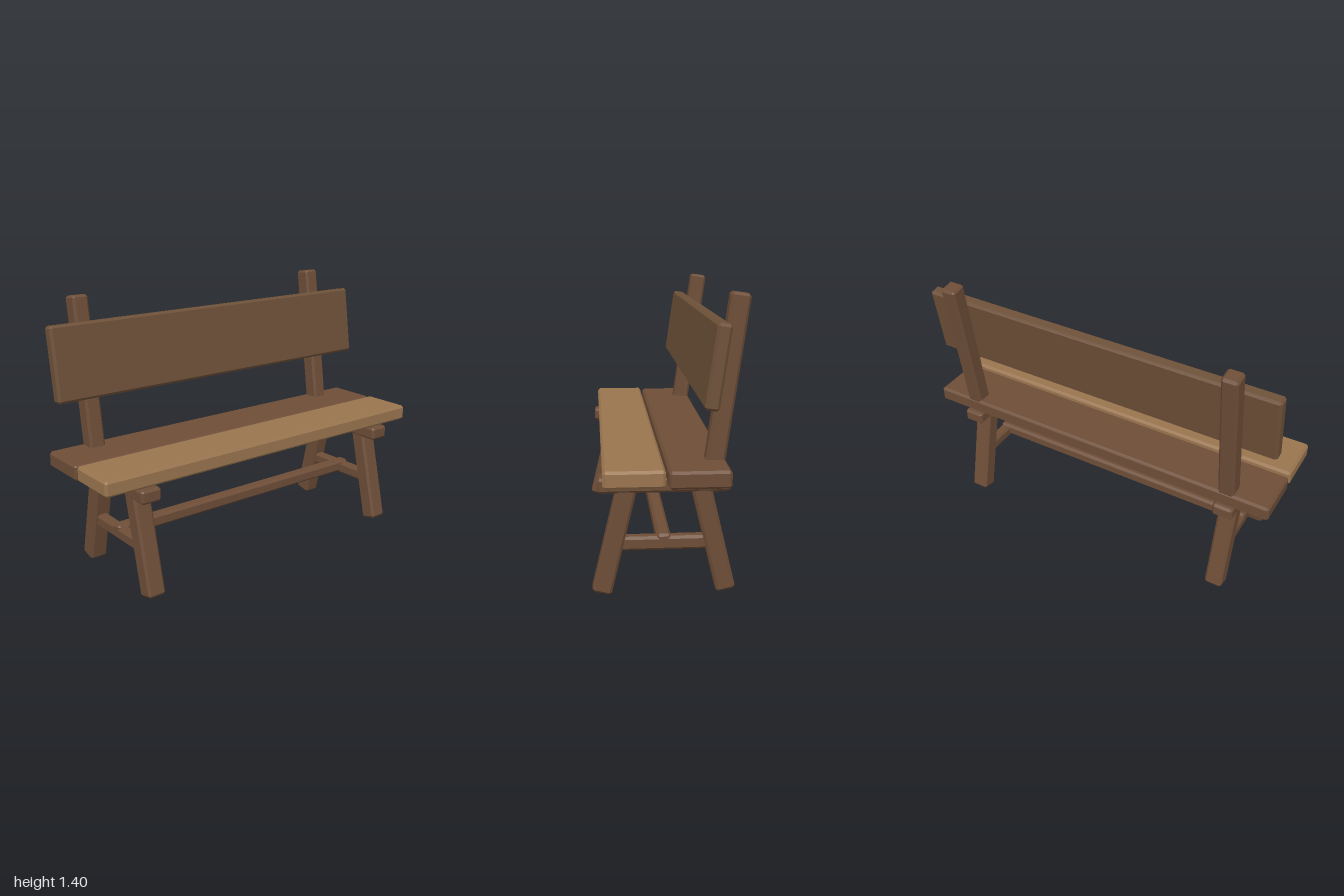
import * as THREE from 'three';
import { ConvexGeometry } from 'three/addons/geometries/ConvexGeometry.js';

const mat = (name, color) => {
  const m = new THREE.MeshStandardMaterial({ color });
  m.name = name;
  return m;
};

// Box with a single flat chamfer on every edge
function chamferBox(w, h, d, c = 0.012) {
  const pts = [];
  for (const x of [-1, 1]) for (const y of [-1, 1]) for (const z of [-1, 1]) {
    const X = w / 2, Y = h / 2, Z = d / 2;
    pts.push(
      new THREE.Vector3(x * X, y * (Y - c), z * (Z - c)),
      new THREE.Vector3(x * (X - c), y * Y, z * (Z - c)),
      new THREE.Vector3(x * (X - c), y * (Y - c), z * Z));
  }
  return new ConvexGeometry(pts);
}

export function createModel() {
  const bench = new THREE.Group();
  bench.name = 'bench';
  const dark = mat('dark wood', 0x6d4d37);
  const backWood = mat('backrest wood', 0x6d5038);
  const light = mat('light wood', 0x99744e);

  // Upright beam given by its y and z limits
  const beam = (name, material, x, w, y0, y1, z0, z1, c) => {
    const m = new THREE.Mesh(chamferBox(w, y1 - y0, z1 - z0, c), material);
    m.name = name;
    m.position.set(x, (y0 + y1) / 2, (z0 + z1) / 2);
    bench.add(m);
  };

  // Beam leaning in the yz plane, from [z, y] at the bottom to [z, y] at the top
  const leaning = (name, material, x, w, thick, [z0, y0], [z1, y1]) => {
    const m = new THREE.Mesh(chamferBox(w, Math.hypot(z1 - z0, y1 - y0), thick), material);
    m.name = name;
    m.position.set(x, (y0 + y1) / 2, (z0 + z1) / 2);
    m.rotation.x = Math.atan2(z1 - z0, y1 - y0);
    bench.add(m);
  };

  // Seat planks and backrest
  beam('frontSeatPlank', light, 0, 2, 0.575, 0.656, 0.034, 0.31);
  beam('rearSeatPlank', dark, 0, 2, 0.568, 0.65, -0.257, 0.02);
  leaning('backrest', backWood, 0, 1.97, 0.066, [-0.164, 0.911], [-0.218, 1.286]);

  // Side frames
  for (const [side, s] of [['left', 1], ['right', -1]]) {
    const x = s * 0.77;
    beam(side + 'SeatBearer', dark, x, 0.11, 0.503, 0.574, -0.28, 0.334);
    leaning(side + 'FrontLeg', dark, x, 0.095, 0.092, [0.317, 0.017], [0.196, 0.525]);
    leaning(side + 'RearLeg', dark, x, 0.095, 0.092, [-0.265, 0.017], [-0.144, 0.525]);
    leaning(side + 'BackPost', dark, x, 0.086, 0.09, [-0.187, 0.497], [-0.315, 1.403]);
    beam(side + 'SideStretcher', dark, x, 0.06, 0.218, 0.284, -0.2, 0.25);
  }

  // Long stretcher between the side frames
  beam('longStretcher', dark, 0, 1.6, 0.231, 0.296, -0.006, 0.06);

  return bench;
}
